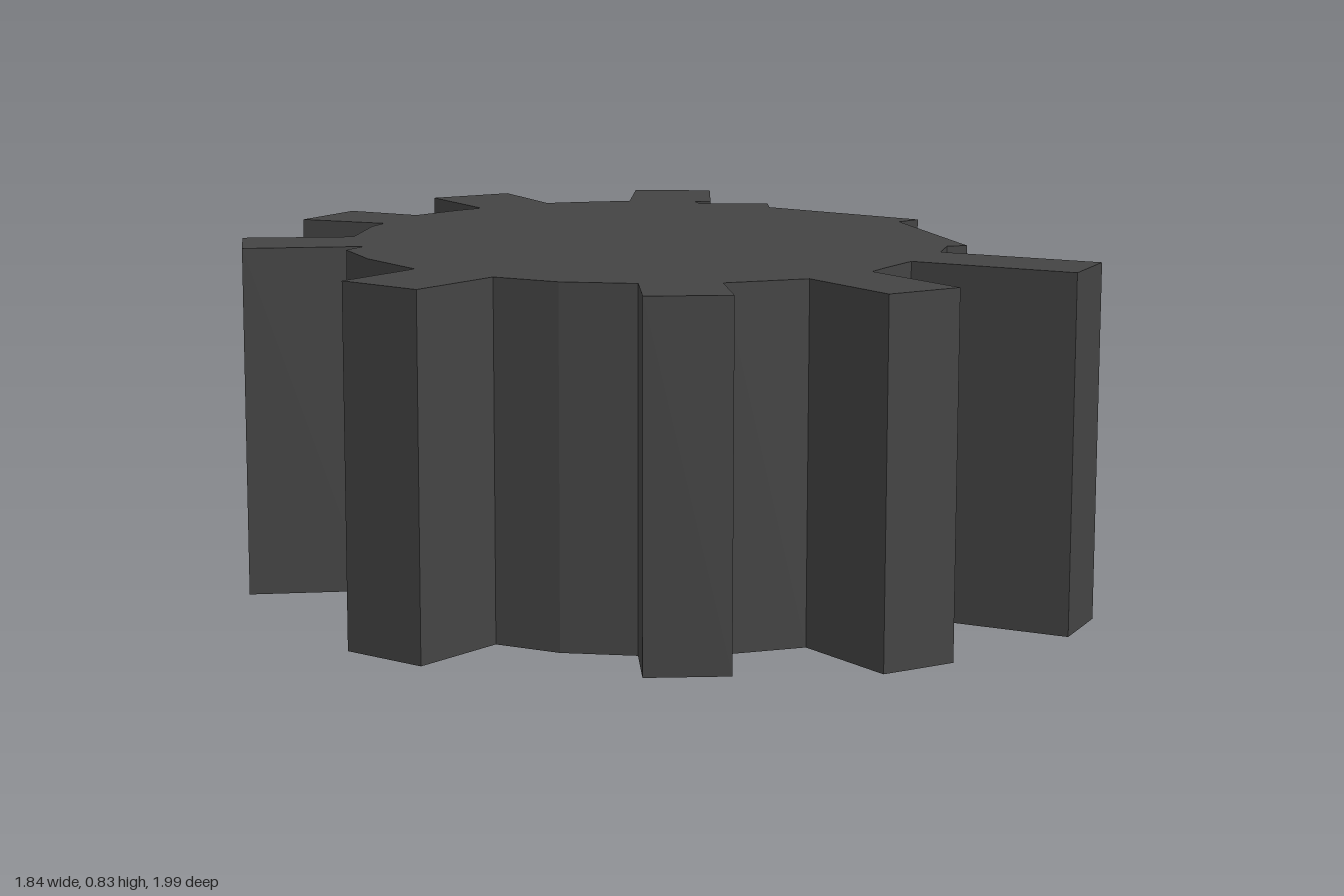
import * as THREE from 'three';

const HEIGHT = 0.83;

// Teeth as [base, tip, tip, base] corners in x, z, going round the rim
const TEETH = [
  [[-0.21, -0.70], [-0.28, -0.95], [-0.07, -1.00], [-0.02, -0.76]],
  [[0.20, -0.75], [0.28, -0.98], [0.47, -0.92], [0.40, -0.68]],
  [[0.63, 0.40], [0.92, 0.66], [0.80, 0.80], [0.51, 0.53]],
  [[0.37, 0.66], [0.47, 0.94], [0.29, 0.99], [0.20, 0.73]],
  [[0.00, 0.74], [-0.03, 0.92], [-0.22, 0.88], [-0.18, 0.70]],
  [[-0.46, 0.52], [-0.66, 0.66], [-0.79, 0.49], [-0.60, 0.35]],
  [[-0.64, -0.05], [-0.92, -0.09], [-0.89, -0.28], [-0.63, -0.23]],
  [[-0.51, -0.46], [-0.69, -0.59], [-0.54, -0.73], [-0.40, -0.60]],
];

// Rim corners that follow each tooth, up to the next one
const RIM = [
  [[0.06, -0.76]],
  [[0.36, -0.69], [0.36, -0.64], [0.53, -0.60], [0.51, -0.52], [0.79, -0.18],
    [0.73, -0.15], [0.73, 0.31], [0.68, 0.31]],
  [[0.41, 0.62]],
  [],
  [[-0.34, 0.63]],
  [[-0.67, 0.16], [-0.69, 0.00]],
  [[-0.55, -0.41]],
  [[-0.28, -0.67]],
];

const material = new THREE.MeshStandardMaterial({ color: 0x444444, flatShading: true });

// Upright prism standing on y = 0 over an x, z outline
function prism(name, points) {
  const shape = new THREE.Shape(points.map(([x, z]) => new THREE.Vector2(x, -z)));
  const geometry = new THREE.ExtrudeGeometry(shape, { depth: HEIGHT, bevelEnabled: false });
  geometry.rotateX(-Math.PI / 2);
  const mesh = new THREE.Mesh(geometry, material);
  mesh.name = name;
  return mesh;
}

export function createModel() {
  const group = new THREE.Group();
  group.name = 'gear';

  // Drum: tooth bases joined by the rim corners between them
  const outline = TEETH.flatMap((tooth, i) => [tooth[0], tooth[3], ...RIM[i]]);
  group.add(prism('drum', outline));

  // Teeth, each uneven in width and length
  TEETH.forEach((tooth, i) => group.add(prism(`tooth${i + 1}`, tooth)));

  return group;
}
